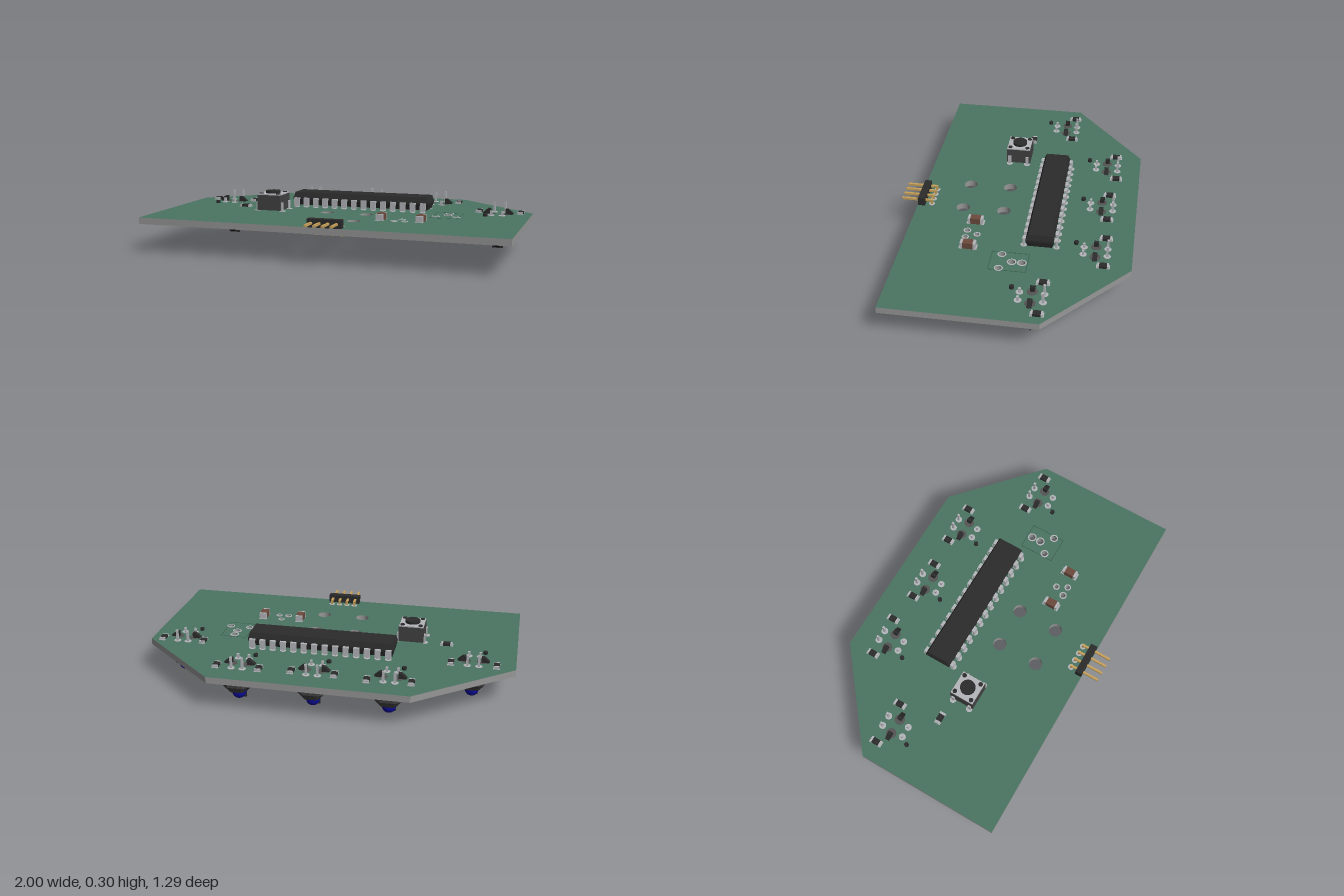
import * as THREE from 'three';
import { ConvexGeometry } from 'three/addons/geometries/ConvexGeometry.js';

const mat = (color, flatShading = false) => new THREE.MeshStandardMaterial({ color, flatShading });
const M = {
  green: mat(0x4b7562), edge: mat(0x969696), black: mat(0x2b2b2b), dark: mat(0x424242, true),
  silver: mat(0xb4b6ba), gold: mat(0xc9a25a), brown: mat(0x6b4a3c), blue: mat(0x0c0c98),
  lens: mat(0x1c1c1c), hole: mat(0x555555), line: mat(0x3c604f),
};
const TOP = 0.19, BOTTOM = 0.155;

function add(parent, name, geo, material, x = 0, y = 0, z = 0) {
  const mesh = new THREE.Mesh(geo, material);
  mesh.name = name;
  mesh.position.set(x, y, z);
  parent.add(mesh);
  return mesh;
}
// box given by its centre in x and z and its y range
const box = (parent, name, m, w, d, y0, y1, x, z) =>
  add(parent, name, new THREE.BoxGeometry(w, y1 - y0, d), m, x, (y0 + y1) / 2, z);
const rod = (parent, name, m, r, y0, y1, x, z, sides = 20) =>
  add(parent, name, new THREE.CylinderGeometry(r, r, y1 - y0, sides), m, x, (y0 + y1) / 2, z);
// solder pad showing on both board faces
const pad = (parent, x, z, r = 0.017) => rod(parent, 'solderPad', M.silver, r, BOTTOM - 0.002, TOP + 0.002, x, z, 16);

function group(parent, name, x = 0, z = 0) {
  const g = new THREE.Group();
  g.name = name;
  g.position.set(x, 0, z);
  parent.add(g);
  return g;
}

// flat shape in plan, extruded upward
function slab(shape, y0, y1) {
  const g = new THREE.ExtrudeGeometry(shape, { depth: y1 - y0, bevelEnabled: false, curveSegments: 12 });
  return g.rotateX(-Math.PI / 2).translate(0, y0, 0);
}
const circle = (C, x, z, r) => new C().absarc(x, -z, r, 0, Math.PI * 2, true);

// octagonal ring of points at one height
const octagon = (hx, hz, cx, cz, y) => [-1, 1].flatMap(a => [-1, 1].flatMap(b => [
  new THREE.Vector3(a * hx, y, b * (hz - cz)), new THREE.Vector3(a * (hx - cx), y, b * hz)]));

// chip resistor or capacitor, lying along z
function chip(parent, name, m, x, z, w, l, h, turn = 0) {
  const g = group(parent, name, x, z);
  box(g, 'chipBody', m, w, l * 0.66, TOP, TOP + h, 0, 0);
  for (const s of [-1, 1]) {
    box(g, 'chipEnd', M.silver, w * 0.98, l * 0.17, TOP, TOP + h * 0.97, 0, s * l * 0.41);
    box(g, 'chipPad', M.silver, w * 1.1, l * 0.24, TOP - 0.005, TOP + 0.002, 0, s * l * 0.46);
  }
  g.rotation.y = turn;
}

function sensor(parent, x, z) {
  const g = group(parent, 'opticalSensor', x, z);
  add(g, 'sensorBody', new ConvexGeometry([
    ...octagon(0.067, 0.116, 0.027, 0.023, BOTTOM), ...octagon(0.067, 0.116, 0.027, 0.023, 0.1),
    ...octagon(0.042, 0.094, 0.014, 0.014, 0.065)]), M.dark);
  const dome = new THREE.CapsuleGeometry(0.037, 0.04, 8, 24);
  add(g, 'receiverLens', dome, M.lens, 0, 0.067, 0.035);
  add(g, 'emitterLens', dome, M.blue, 0, 0.067, -0.036);
  box(g, 'divider', M.black, 0.06, 0.006, 0, 0.07, 0, 0);
  // leads poking out above the board
  for (const sx of [-1, 1]) {
    for (const [lz, top] of [[0.062, 0.217], [-0.062, 0.252]]) {
      pad(g, sx * 0.03, lz, 0.019);
      box(g, 'lead', M.silver, 0.012, 0.012, BOTTOM, top, sx * 0.03, lz);
    }
    // snap hook in its hole
    rod(g, 'hookHole', M.hole, 0.028, BOTTOM, TOP + 0.001, sx * 0.043, 0);
    const pts = [-0.012, 0.012].flatMap(d => [[0.04, TOP - 0.01], [0.04, 0.22], [0.056, 0.22], [0.085, 0.195], [0.06, TOP - 0.01]]
      .map(([px, py]) => new THREE.Vector3(sx * px, py, d)));
    add(g, 'snapHook', new ConvexGeometry(pts), M.black);
  }
  rod(g, 'locatingPeg', M.black, 0.012, BOTTOM, 0.205, -0.055, 0.105);
}

function controllerChip(parent) {
  const g = group(parent, 'controllerChip', 0.04, -0.163);
  const ring = (hx, hz, y) => [[1, 1], [1, -1], [-1, 1], [-1, -1]].map(([a, b]) => new THREE.Vector3(a * hx, y, b * hz));
  add(g, 'chipCase', new ConvexGeometry([
    ...ring(0.392, 0.062, 0.272), ...ring(0.4, 0.074, 0.242), ...ring(0.4, 0.074, 0.232), ...ring(0.392, 0.064, 0.2)]), M.black);
  for (let i = 0; i < 14; i++) for (const s of [-1, 1]) {
    const x = (i - 6.5) * 0.0575;
    box(g, 'pinShoulder', M.silver, 0.032, 0.026, 0.232, 0.242, x, s * 0.077);
    box(g, 'pinLeg', M.silver, 0.032, 0.01, 0.196, 0.242, x, s * 0.086);
    box(g, 'pinTip', M.silver, 0.013, 0.01, 0.12, 0.2, x, s * 0.086);
    pad(g, x, s * 0.086);
  }
}

function pushButton(parent) {
  const g = group(parent, 'pushButton', -0.42, 0.068);
  box(g, 'buttonCase', M.dark, 0.138, 0.138, 0.195, 0.28, 0, 0);
  box(g, 'buttonPlate', M.silver, 0.134, 0.134, 0.28, 0.286, 0, 0);
  rod(g, 'plunger', M.black, 0.041, 0.28, 0.3, 0, 0, 32);
  for (const a of [-1, 1]) for (const b of [-1, 1]) {
    rod(g, 'rivet', M.black, 0.012, 0.28, 0.29, a * 0.05, b * 0.05);
    box(g, 'buttonLeg', M.silver, 0.008, 0.018, 0.12, 0.24, a * 0.074, b * 0.051);
    pad(g, a * 0.076, b * 0.051, 0.018);
  }
}

function pinHeader(parent) {
  const g = group(parent, 'pinHeader', 0.0575, 0);
  box(g, 'headerStrip', M.black, 0.184, 0.038, TOP, 0.234, 0, 0.534);
  for (let i = 0; i < 4; i++) {
    const x = (i - 1.5) * 0.0455;
    box(g, 'headerPin', M.gold, 0.012, 0.171, 0.207, 0.219, x, 0.5595);
    box(g, 'headerTail', M.gold, 0.012, 0.012, 0.14, 0.219, x, 0.48);
    pad(g, x, 0.48);
  }
}

export function createModel() {
  const model = new THREE.Group();
  model.name = 'sensorBoard';

  // board outline with its open holes
  const outline = [[-1, 0.555], [1, 0.555], [1, -0.238], [0.545, -0.645], [-0.505, -0.645], [-1, -0.238]];
  const shape = new THREE.Shape(outline.map(([x, z]) => new THREE.Vector2(x, -z)));
  const mounts = [-0.093, 0.133].flatMap(x => [0.075, 0.302].map(z => [x, z, 0.037]));
  const plated = [[0.565, -0.09, 0.018], [0.565, -0.037, 0.018], [0.51, 0.022, 0.016], [0.622, 0.022, 0.016],
    [0.365, 0.18, 0.012], [0.337, 0.238, 0.014], [0.393, 0.238, 0.012]];
  for (const [x, z, r] of [...mounts, ...plated]) shape.holes.push(circle(THREE.Path, x, z, r));
  add(model, 'board', slab(shape, BOTTOM, TOP), [M.green, M.edge]);

  // plated rings around the open holes
  for (const [x, z, r] of plated) {
    const ring = circle(THREE.Shape, x, z, r + 0.007);
    ring.holes.push(circle(THREE.Path, x, z, r));
    add(model, 'holeRing', slab(ring, BOTTOM - 0.002, TOP + 0.002), M.silver);
  }
  // printed frame around the empty trimmer position
  for (const s of [-1, 1]) {
    box(model, 'printedLine', M.line, 0.004, 0.195, TOP - 0.002, TOP + 0.001, 0.563 + s * 0.073, -0.022);
    box(model, 'printedLine', M.line, 0.15, 0.004, TOP - 0.002, TOP + 0.001, 0.563, -0.022 + s * 0.097);
  }

  for (const [x, z] of [[-0.778, -0.171], [-0.379, -0.451], [0.02, -0.451], [0.419, -0.451], [0.818, -0.171]]) sensor(model, x, z - 0.002);
  for (const [x, z] of [[-0.9, -0.217], [-0.662, -0.217], [-0.492, -0.5], [-0.265, -0.513], [-0.093, -0.49], [0.135, -0.49],
    [0.305, -0.5], [0.533, -0.5], [0.705, -0.217], [0.935, -0.217]]) chip(model, 'resistor', M.black, x, z, 0.032, 0.06, 0.014);
  chip(model, 'resistor', M.black, -0.618, 0.01, 0.032, 0.06, 0.014, Math.PI / 2);
  for (const x of [0.257, 0.473]) chip(model, 'capacitor', M.brown, x, 0.207, 0.04, 0.082, 0.035);

  controllerChip(model);
  pushButton(model);
  pinHeader(model);
  return model;
}
